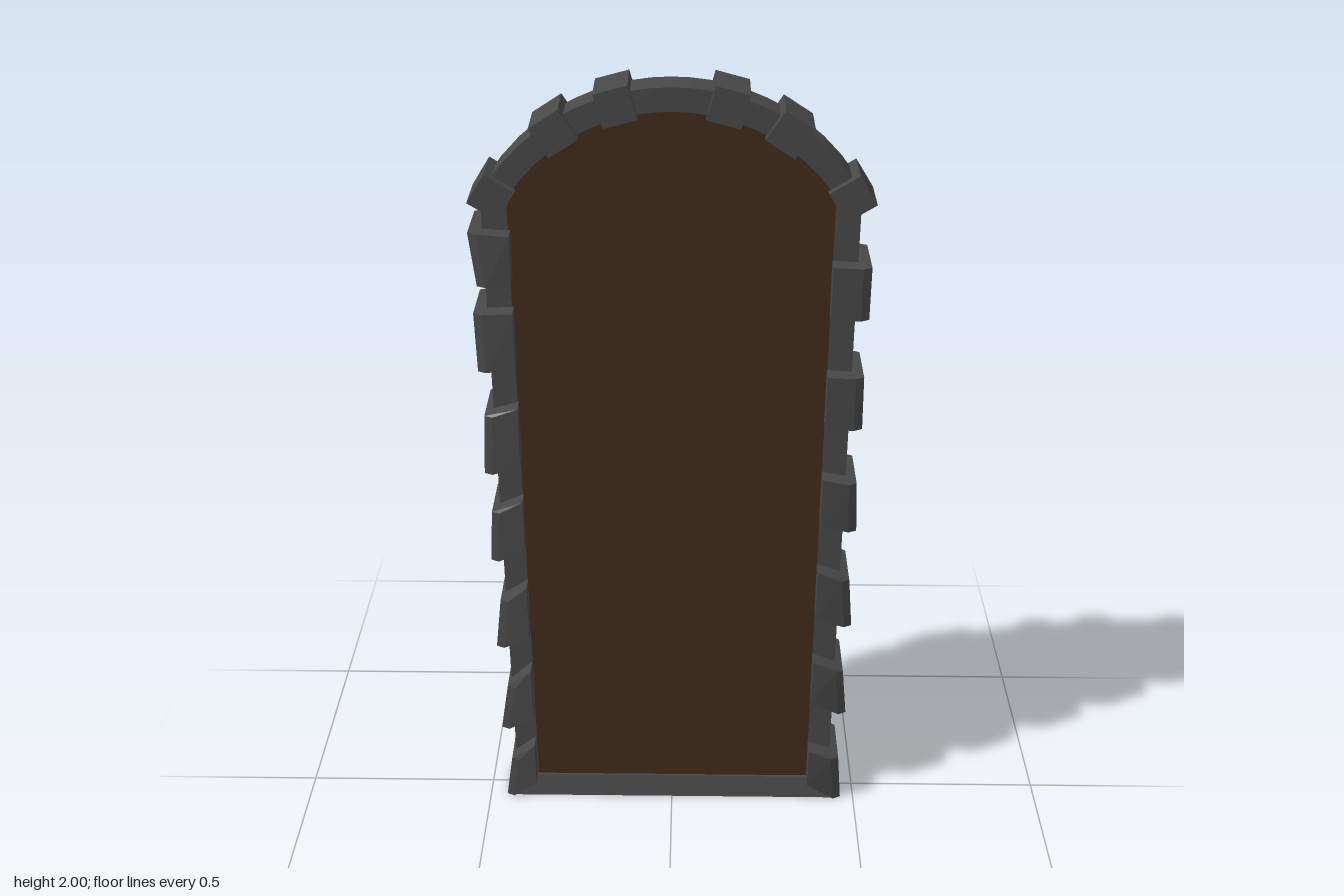
import * as THREE from 'three';
import { ConvexGeometry } from 'three/addons/geometries/ConvexGeometry.js';

const mat = (color) => new THREE.MeshStandardMaterial({ color, flatShading: true });
const stone = mat(0x484848);
const wood = mat(0x3f2b1a);
const iron = mat(0x221a13);
const black = mat(0x080808);

const ARCH_Y = 1.485; // centre height of the arch circle
const archTop = (x, r) => ARCH_Y + Math.sqrt(r * r - x * x);

// Polygon with slanted sides and an arched top edge
function archedPoints(xb0, xb1, xt0, xt1, yBottom, r, steps) {
  const pts = [new THREE.Vector2(xb0, yBottom), new THREE.Vector2(xb1, yBottom)];
  for (let i = 0; i <= steps; i++) {
    const x = xt1 + (xt0 - xt1) * i / steps;
    pts.push(new THREE.Vector2(x, archTop(x, r)));
  }
  return pts;
}

function add(parent, name, geometry, material) {
  const mesh = new THREE.Mesh(geometry, material);
  mesh.name = name;
  parent.add(mesh);
  return mesh;
}

function slab(shape, z0, z1) {
  const g = new THREE.ExtrudeGeometry(shape, { depth: z1 - z0, bevelEnabled: false, curveSegments: 10 });
  return g.translate(0, 0, z0);
}

// Tapered stone: inner and outer heights, outer x at bottom and top
function quoin(side, [yi0, yi1, yo0, yo1, xb, xt], zBottom) {
  const pts = [];
  for (const s of [-1, 1]) {
    pts.push(
      new THREE.Vector3(side * 0.37, yi0, s * 0.082),
      new THREE.Vector3(side * 0.37, yi1, s * 0.084),
      new THREE.Vector3(side * (xb - 0.02), yo0, s * (zBottom + 0.01)),
      new THREE.Vector3(side * (xt - 0.02), yo1, s * 0.079),
      new THREE.Vector3(side * xb, yo0, s * zBottom),
      new THREE.Vector3(side * xt, yo1, s * 0.07));
  }
  return new ConvexGeometry(pts);
}

export function createModel() {
  const model = new THREE.Group();
  model.name = 'archedDoor';

  // Stone frame: jambs and arch around the opening
  const outline = new THREE.Shape(archedPoints(-0.425, 0.43, -0.435, 0.43, 0, 0.505, 20));
  outline.holes.push(new THREE.Path(archedPoints(-0.367, 0.37, -0.376, 0.372, 0.05, 0.45, 20).reverse()));
  add(model, 'frame', slab(outline, -0.041, 0.041), stone);

  // Sill, mitred at both ends and splayed towards the ground
  const sill = [];
  for (const sx of [-1, 1]) for (const sz of [-1, 1]) {
    sill.push(new THREE.Vector3(sx * 0.45, 0, sz * 0.06), new THREE.Vector3(sx * 0.37, 0.06, sz * 0.045));
  }
  add(model, 'sill', new ConvexGeometry(sill), stone);

  // Side stones, a slightly irregular stack on each jamb
  const leftStones = [
    [0.06, 0.18, 0, 0.15, 0.465, 0.452],
    [0.34, 0.475, 0.295, 0.44, 0.465, 0.45],
    [0.61, 0.755, 0.58, 0.725, 0.465, 0.452],
    [0.89, 1.025, 0.87, 1.01, 0.462, 0.455],
    [1.165, 1.305, 1.16, 1.3, 0.46, 0.457],
    [1.45, 1.585, 1.45, 1.58, 0.46, 0.46],
  ];
  const rightStones = [
    [0.06, 0.19, 0, 0.135, 0.455, 0.435],
    [0.28, 0.44, 0.235, 0.38, 0.458, 0.435],
    [0.54, 0.7, 0.505, 0.655, 0.458, 0.44],
    [0.81, 0.955, 0.775, 0.92, 0.458, 0.448],
    [1.055, 1.215, 1.03, 1.19, 0.46, 0.452],
    [1.32, 1.465, 1.31, 1.46, 0.46, 0.463],
    [1.54, 1.655, 1.53, 1.66, 0.45, 0.465],
  ];
  for (const [side, name, list] of [[1, 'leftSideStone', leftStones], [-1, 'rightSideStone', rightStones]]) {
    list.forEach((s, i) => add(model, name + (i + 1), quoin(side, s, 0.055 + 0.003 * i), stone));
  }

  // Arch stones, turned to follow the curve
  for (const side of [-1, 1]) {
    [15, 33, 58].forEach((deg, i) => {
      const a = side * THREE.MathUtils.degToRad(deg);
      const block = add(model, 'archStone' + (side > 0 ? 'Left' : 'Right') + (i + 1),
        new THREE.BoxGeometry(0.08, 0.08, 0.122), stone);
      block.position.set(Math.sin(a) * 0.482, ARCH_Y + Math.cos(a) * 0.482, 0);
      block.rotation.z = -a;
    });
  }

  // Door: smooth panel at the front, planks with narrow gaps behind it
  const panel = new THREE.Shape(archedPoints(-0.368, 0.371, -0.377, 0.373, 0.055, 0.451, 20));
  add(model, 'doorPanel', slab(panel, 0.027, 0.039), wood);

  const gaps = [[-0.37, -0.377], [-0.22, -0.23], [-0.1, 0], [0.207, 0.17], [0.35, 0.34], [0.385, 0.385]];
  for (let i = 0; i < gaps.length - 1; i++) {
    const [b0, t0] = gaps[i], [b1, t1] = gaps[i + 1];
    const shape = new THREE.Shape(archedPoints(b0 + 0.009, b1 - 0.009, t0 + 0.009, t1 - 0.009, 0.055, 0.451, 6));
    add(model, 'plank' + (i + 1), slab(shape, 0.014, 0.028), wood);
  }

  // Lock plate with keyhole on the back
  const lock = new THREE.Group();
  lock.name = 'lock';
  lock.position.set(-0.31, 0.95, 0);
  const half = [[0, -0.095], [0.035, -0.04], [0.048, 0.035], [0.025, 0.06], [0, 0.09]];
  const plate = half.concat(half.slice(1, -1).reverse().map(([x, y]) => [-x, y]));
  add(lock, 'lockPlate', slab(new THREE.Shape(plate.map(([x, y]) => new THREE.Vector2(x, y))), 0.006, 0.015), iron);
  const hole = new THREE.Shape();
  hole.moveTo(-0.02, -0.045);
  hole.lineTo(0.02, -0.045);
  hole.lineTo(0.011, 0.004);
  hole.absarc(0, 0.02, 0.021, -0.9, Math.PI + 0.9, false);
  hole.lineTo(-0.011, 0.004);
  add(lock, 'keyhole', slab(hole, 0.004, 0.007), black);
  model.add(lock);

  return model;
}
